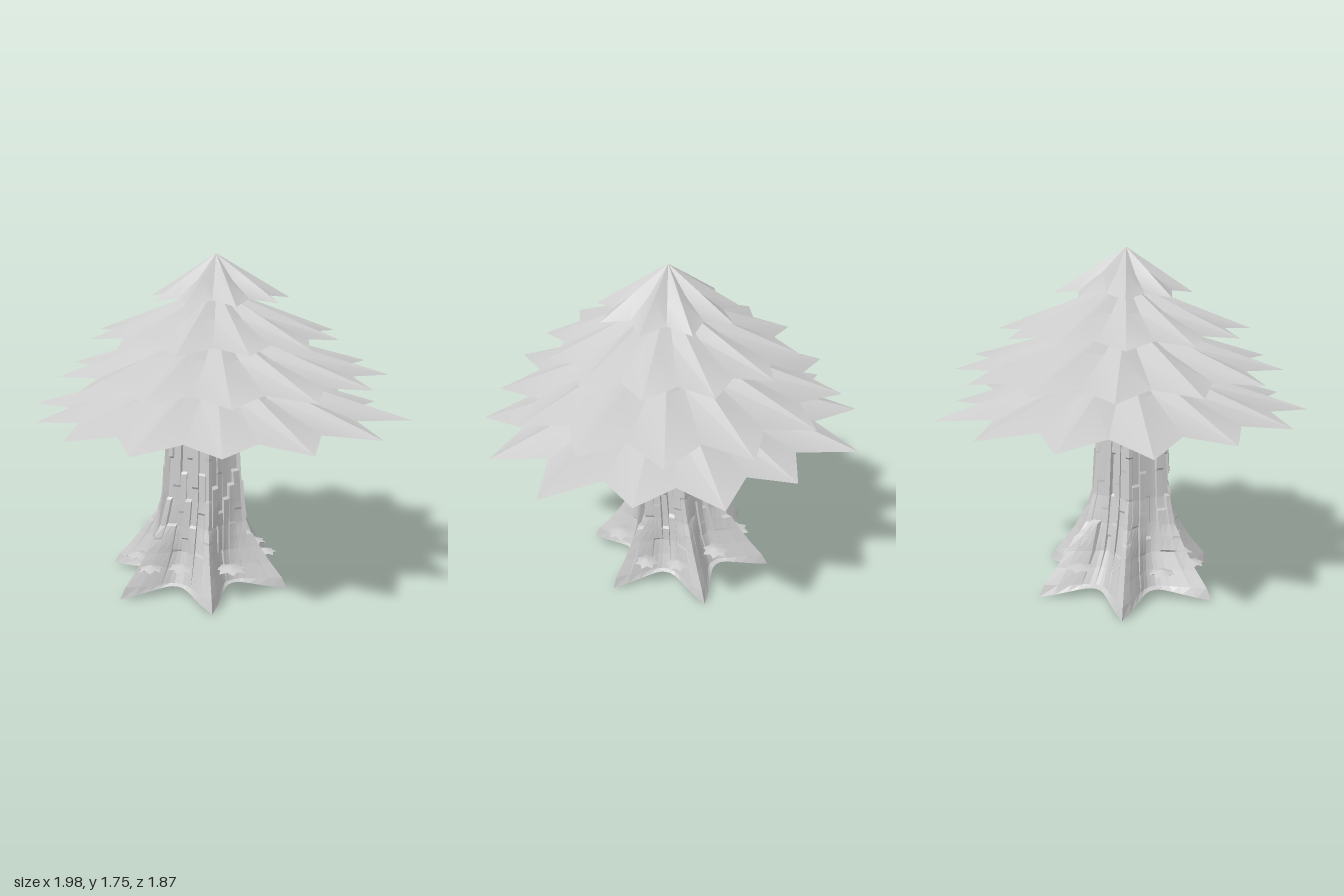
import * as THREE from 'three';
import { toCreasedNormals } from 'three/addons/utils/BufferGeometryUtils.js';

const material = new THREE.MeshStandardMaterial({ color: 0xcccccc, side: THREE.DoubleSide });
const flatMaterial = new THREE.MeshStandardMaterial({ color: 0xcccccc, side: THREE.DoubleSide, flatShading: true });

// small seeded random generator
let seed = 7;
const rand = () => {
  seed = (seed * 16807) % 2147483647;
  return seed / 2147483647;
};

function addMesh(parent, name, geometry, mat = material) {
  const mesh = new THREE.Mesh(geometry, mat);
  mesh.name = name;
  parent.add(mesh);
}

function buildGeometry(positions, index) {
  const g = new THREE.BufferGeometry();
  g.setAttribute('position', new THREE.Float32BufferAttribute(positions, 3));
  g.setIndex(index);
  g.computeVertexNormals();
  return g;
}

// Pleated star cone: ridges run to long low tips, valleys stop short; a shallow fan closes it below.
// Angles are measured from +x towards +z.
function pleatedCone({ tips, valley, phase, apex, tipY, valleyY, baseY, cx = 0, cz = 0, bend = 0.02 }) {
  const n = tips.length * 2, pos = [0, apex, 0], index = [];
  for (let ring = 1; ring <= 2; ring++) {
    const t = ring / 2;
    for (let i = 0; i < n; i++) {
      const a = THREE.MathUtils.degToRad(phase) + (i / n) * Math.PI * 2;
      const isTip = i % 2 === 0;
      const r = (isTip ? tips[i / 2] : valley) * t;
      const y = THREE.MathUtils.lerp(apex, isTip ? tipY : valleyY, t);
      const sag = ring === 1 && !isTip ? bend : 0;
      pos.push(Math.cos(a) * r + cx * t, y - sag, Math.sin(a) * r + cz * t);
    }
  }
  const base = pos.length / 3;
  pos.push(cx, baseY, cz);
  for (let i = 0; i < n; i++) {
    const a = 1 + i, b = 1 + ((i + 1) % n);
    index.push(0, b, a, a, b, a + n, b, b + n, a + n, base, a + n, b + n);
  }
  return toCreasedNormals(buildGeometry(pos, index), 0.45);
}

// linear lookup in [y, value] pairs
function sample(points, y) {
  for (let i = 1; i < points.length; i++) {
    const [y0, v0] = points[i - 1], [y1, v1] = points[i];
    if (y <= y1) return v0 + ((v1 - v0) * (y - y0)) / (y1 - y0);
  }
  return points[points.length - 1][1];
}

const ridgeRadius = [[0, 0.51], [0.06, 0.48], [0.14, 0.41], [0.22, 0.35], [0.36, 0.26], [0.5, 0.225], [0.9, 0.195], [1.35, 0.1]];
const valleyRadius = [[0, 0.29], [0.08, 0.26], [0.14, 0.235], [0.22, 0.21], [0.36, 0.195], [0.5, 0.185], [0.9, 0.165], [1.35, 0.08]];
const centreX = [[0, -0.105], [0.5, -0.065], [0.9, -0.06], [1.35, 0]];
const centreZ = [[0, 0.01], [0.5, 0.028], [0.9, 0.03], [1.35, 0]];

// Open-ended trunk with six root buttresses and stepped bark plates
function trunkGeometry() {
  const columns = 36, per = 3, n = columns * per;
  const levels = [0, 0.06, 0.14, 0.22, 0.29, 0.36, 0.43, 0.5, 0.57, 0.64, 0.72, 0.8, 0.88, 0.96, 1.1, 1.35];
  // paired rows give each plate a ledge at its top
  const rows = levels.flatMap((y, i) => (i > 2 && i < levels.length - 1 ? [y, y + 0.012] : [y]));
  const plates = Array.from({ length: columns }, (_, c) => {
    const shift = c % 3;
    const base = (rand() - 0.5) * 0.04;
    const steps = Array.from({ length: 8 }, () => base + (rand() - 0.5) * 0.026);
    return (row) => steps[Math.floor((Math.floor(row / 2) + shift) / 3)];
  });
  const pos = [], index = [];
  rows.forEach((y, row) => {
    for (let c = 0; c < columns; c++) {
      const plate = plates[c](row) * THREE.MathUtils.smoothstep(y, 0, 0.35);
      for (let k = 0; k < per; k++) {
        const a = ((c + (k - 1) * 0.47) / columns) * Math.PI * 2;
        const ridge = Math.pow(1 - Math.abs(Math.sin(3 * a)), 1.2);
        const r = THREE.MathUtils.lerp(sample(valleyRadius, y), sample(ridgeRadius, y), ridge) + plate;
        const lift = row === 0 ? 0.05 * (1 - ridge) : 0;
        pos.push(sample(centreX, y) + Math.cos(a) * r, y + lift, sample(centreZ, y) + Math.sin(a) * r);
      }
    }
  });
  for (let row = 0; row < rows.length - 1; row++) {
    for (let i = 0; i < n; i++) {
      const a = row * n + i, b = row * n + ((i + 1) % n);
      index.push(a, a + n, b, b, a + n, b + n);
    }
  }
  return buildGeometry(pos, index);
}

export function createModel() {
  const model = new THREE.Group();
  model.name = 'tree';

  addMesh(model, 'trunk', trunkGeometry(), flatMaterial);

  // Foliage tiers, top to bottom
  const vary = (count, r, amount) => Array.from({ length: count }, () => r + (rand() - 0.5) * amount);
  const tiers = [
    { tips: vary(9, 0.36, 0.02), valley: 0.27, phase: 16, apex: 1.755, tipY: 1.53, valleyY: 1.55, baseY: 1.57, cx: 0.01, cz: -0.01 },
    { tips: vary(12, 0.645, 0.02), valley: 0.525, phase: -4, apex: 1.59, tipY: 1.34, valleyY: 1.36, baseY: 1.39, cz: -0.015 },
    { tips: vary(13, 0.855, 0.02), valley: 0.68, phase: -16, apex: 1.41, tipY: 1.14, valleyY: 1.16, baseY: 1.2, cx: 0.025, cz: -0.04 },
    {
      tips: [0.98, 0.95, 0.89, 0.94, 0.935, 0.93, 1.0, 0.96, 0.99, 1.01, 0.91, 0.945, 0.9, 1.01],
      valley: 0.76, phase: 16, apex: 1.23, tipY: 0.935, valleyY: 0.96, baseY: 1.0,
    },
  ];
  const foliage = new THREE.Group();
  foliage.name = 'foliage';
  model.add(foliage);
  tiers.forEach((tier, i) => addMesh(foliage, `foliageTier${i + 1}`, pleatedCone(tier)));

  // Flat star-shaped bracket fungi around the roots: x, z, radius
  const spots = [
    [-0.37, 0.2, 0.07], [-0.23, 0.35, 0.07], [-0.08, 0.28, 0.08], [0.16, 0.21, 0.085],
    [0.25, -0.09, 0.065], [0.14, -0.22, 0.07], [-0.09, -0.28, 0.075], [-0.31, -0.22, 0.085],
  ];
  spots.forEach(([x, z, r], i) => {
    const fungus = new THREE.Group();
    fungus.name = `bracketFungus${i + 1}`;
    fungus.position.set(x, 0.137, z);
    addMesh(fungus, 'cap', pleatedCone({
      tips: Array(7).fill(r), valley: r * 0.7, phase: i * 20, bend: 0, apex: 0.034, tipY: 0.012, valleyY: 0.018, baseY: 0,
    }));
    model.add(fungus);
  });

  return model;
}
